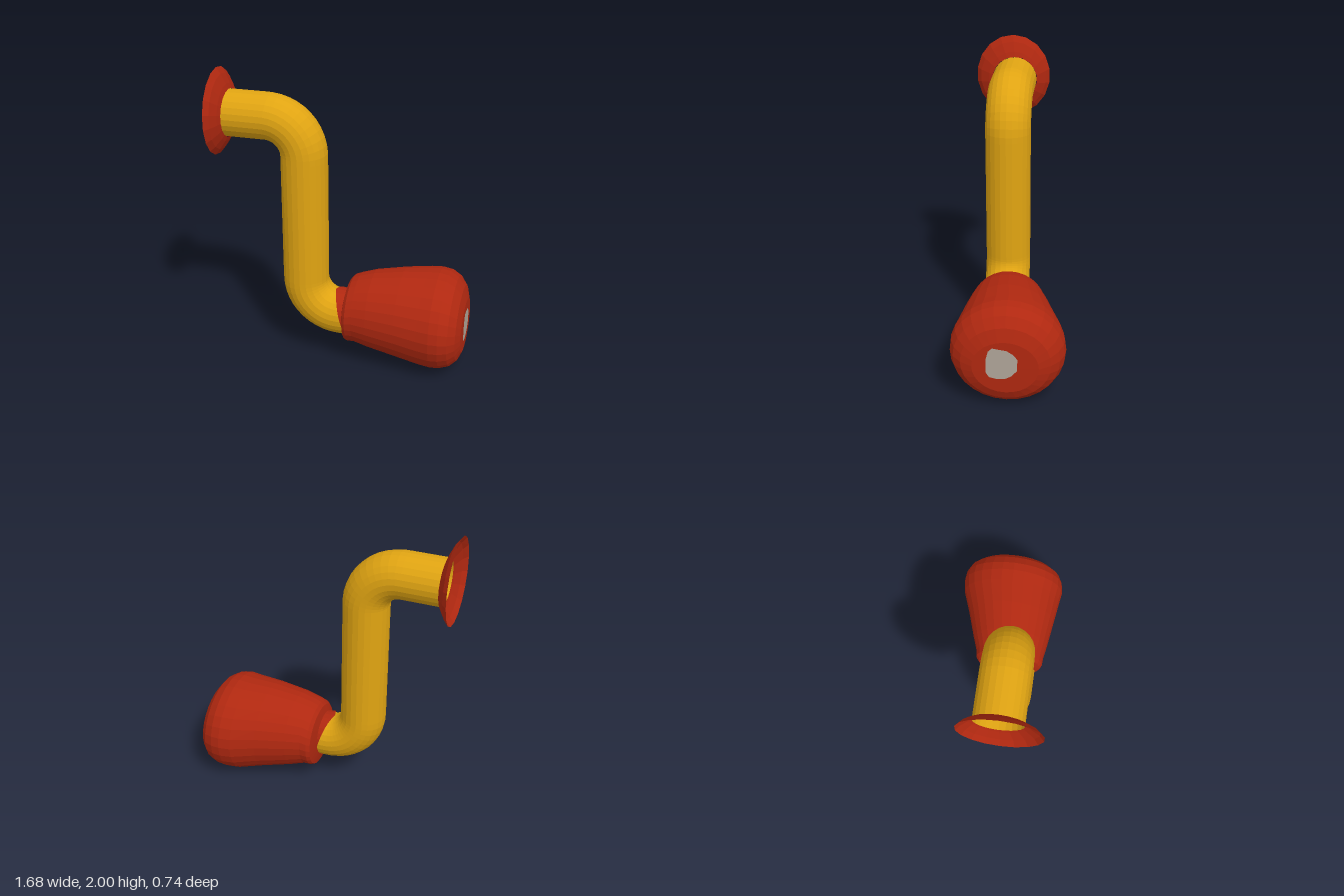
import * as THREE from 'three';
import { ParametricGeometry } from 'three/addons/geometries/ParametricGeometry.js';

const mat = (name, color) => {
  const m = new THREE.MeshStandardMaterial({ color, flatShading: true, side: THREE.DoubleSide });
  m.name = name;
  return m;
};

// Skin over elliptical rings stacked along x: [x, centreY, centreZ, radiusY, radiusZ]
function loftX(rings, sides) {
  const n = rings.length - 1;
  return new ParametricGeometry((u, v, p) => {
    const [x, y, z, ry, rz] = rings[Math.round(v * n)];
    const a = u * Math.PI * 2;
    p.set(x, y + ry * Math.cos(a), z + rz * Math.sin(a));
  }, sides, n);
}

export function createModel() {
  const model = new THREE.Group();
  const red = mat('red', 0xb02810);
  const yellow = mat('yellow', 0xe0a412);
  const grey = mat('warm grey', 0xb0a599);
  const add = (name, geometry, material) => {
    const mesh = new THREE.Mesh(geometry, material);
    mesh.name = name;
    model.add(mesh);
    return mesh;
  };

  // Bent pipe: upper arm, quarter bend, upright, quarter bend, lower arm
  const Z = 0.085, R = 0.155, X = -0.265, TOP = 1.7, LOW = 0.332, B = 0.245;
  const V = (x, y) => new THREE.Vector3(x, y, Z);
  const K = B * 0.448; // handle inset for a circular quarter bend
  const path = new THREE.CurvePath();
  path.add(new THREE.LineCurve3(V(-0.775, TOP), V(X - B, TOP)));
  path.add(new THREE.CubicBezierCurve3(V(X - B, TOP), V(X - K, TOP), V(X, TOP - K), V(X, TOP - B)));
  path.add(new THREE.LineCurve3(V(X, TOP - B), V(X, LOW + B)));
  path.add(new THREE.CubicBezierCurve3(V(X, LOW + B), V(X, LOW + K), V(X + K, LOW), V(X + B, LOW)));
  path.add(new THREE.LineCurve3(V(X + B, LOW), V(0.05, LOW)));
  add('pipe', new THREE.TubeGeometry(path, 56, R, 24, false), yellow);

  // Open dished flange around the upper pipe end
  add('flange', loftX([
    [-0.84, 1.71, 0.1, 0.29, 0.262],
    [-0.81, 1.708, 0.098, 0.25, 0.235],
    [-0.78, 1.703, 0.09, 0.19, 0.185],
    [-0.768, 1.7, Z, 0.158, 0.158],
  ], 18), red);

  // Grip: flared barrel with a rounded outer end
  add('grip', loftX([
    [0.02, 0.335, 0.08, 0.15, 0.15],
    [0.034, 0.34, 0.048, 0.215, 0.225],
    [0.055, 0.35, 0.046, 0.23, 0.242],
    [0.1, 0.36, 0.045, 0.24, 0.246],
    [0.2, 0.36, 0.036, 0.27, 0.272],
    [0.4, 0.353, 0.018, 0.308, 0.318],
    [0.56, 0.341, 0, 0.332, 0.358],
    [0.64, 0.34, 0, 0.338, 0.37],
    [0.7, 0.338, 0, 0.33, 0.364],
    [0.76, 0.33, 0, 0.302, 0.337],
    [0.805, 0.32, 0, 0.25, 0.285],
    [0.83, 0.305, 0, 0.178, 0.21],
    [0.834, 0.305, 0, 0, 0],
  ], 28), red);

  // Collar: sleeve over the top of the lower arm, with a slanted edge
  add('collar', new ParametricGeometry((u, v, p) => {
    const a = (u - 0.5) * 3.6;
    const start = -0.055 + 0.08 * Math.abs(a) / 1.8;
    const r = R + 0.004 + 0.007 * (1 - v) * Math.max(0, Math.cos(a));
    p.set(start + (0.04 - start) * v, LOW + r * Math.cos(a), Z + r * Math.sin(a));
  }, 14, 3), red);

  // Pale patch on the outer end of the grip; shape is drawn in (-z, y)
  const patch = new THREE.Shape([
    [-0.12, 0.27], [-0.1, 0.238], [-0.05, 0.226], [0, 0.23], [0.04, 0.25],
    [0.074, 0.29], [0.078, 0.37], [0.05, 0.405], [0.01, 0.43], [-0.03, 0.436],
    [-0.08, 0.444], [-0.105, 0.42], [-0.12, 0.36],
  ].map(([x, y]) => new THREE.Vector2(x, y)));
  const endPatch = add('endPatch', new THREE.ShapeGeometry(patch), grey);
  endPatch.rotation.y = Math.PI / 2;
  endPatch.position.x = 0.837;

  return model;
}
